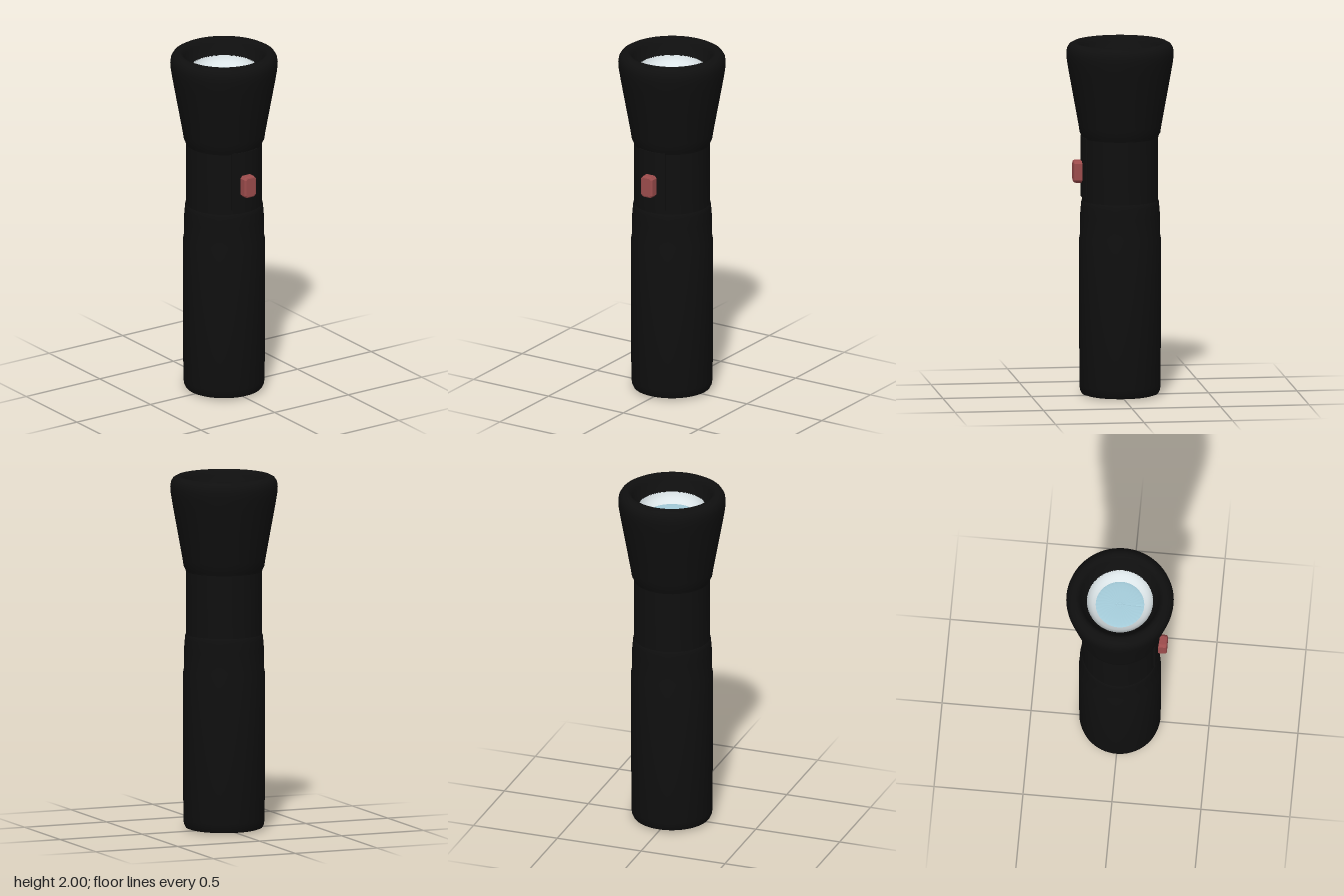
import * as THREE from 'three';
import { toCreasedNormals } from 'three/addons/utils/BufferGeometryUtils.js';

const material = (name, color) => {
  const m = new THREE.MeshStandardMaterial({ color });
  m.name = name;
  return m;
};

export function createModel() {
  const model = new THREE.Group();
  model.name = 'flashlight';
  const black = material('black rubber', 0x0f0f0f);
  const silver = material('reflector silver', 0xdde6e9);
  const blue = material('lens blue', 0xa6cedc);
  const red = material('switch red', 0x9c4c4c);

  const add = (name, geometry, mat) => {
    const mesh = new THREE.Mesh(geometry, mat);
    mesh.name = name;
    model.add(mesh);
    return mesh;
  };
  // Revolved part; profile points are [radius, height]
  const lathe = (points, segments = 64) =>
    new THREE.LatheGeometry(points.map(([r, y]) => new THREE.Vector2(r, y)), segments);
  const turned = (name, points, mat, crease = 0.6) =>
    add(name, toCreasedNormals(lathe(points), crease), mat);

  // Handle, with a small raised disc under the tail
  turned('grip', [
    [0, 0], [0.1, 0], [0.105, 0.005], [0.195, 0.005], [0.215, 0.012], [0.224, 0.03], [0.228, 0.06],
    [0.229, 0.89], [0.225, 0.91], [0.224, 1.02], [0.219, 1.08], [0.217, 1.1], [0.212, 1.11],
  ], black);
  turned('neck', [[0.214, 1.09], [0.214, 1.48]], black);

  // Flared head, rolling over the rim and down into the opening
  turned('head', [
    [0.212, 1.455], [0.218, 1.475], [0.226, 1.49], [0.232, 1.53], [0.25, 1.63], [0.27, 1.74],
    [0.288, 1.84], [0.298, 1.9], [0.301, 1.94], [0.297, 1.967], [0.285, 1.987], [0.265, 1.998],
    [0.25, 2], [0.235, 1.995], [0.222, 1.97], [0.205, 1.935], [0.185, 1.91],
  ], black, 0.8);

  // Concave reflector bowl
  turned('reflector', [
    [0.186, 1.912], [0.181, 1.898], [0.171, 1.882], [0.155, 1.867], [0.132, 1.855],
  ], silver, 0.8);

  // Lens with fine radial ridges
  const lensGeometry = lathe([[0.136, 1.858], [0.12, 1.86], [0.08, 1.862], [0.04, 1.863], [0, 1.863]], 72);
  const pos = lensGeometry.attributes.position;
  for (let i = 0; i < pos.count; i++) {
    const r = Math.hypot(pos.getX(i), pos.getZ(i));
    const ridge = Math.floor(i / 5) % 2 ? 1 : 0;
    if (r < 0.13) pos.setY(i, pos.getY(i) + ridge * r * 0.02);
  }
  lensGeometry.computeVertexNormals();
  add('lens', lensGeometry, blue);

  // Curved switch panel on the front of the neck
  const arc = new THREE.Shape();
  const a = 0.4;
  arc.absarc(0, 0, 0.221, -Math.PI / 2 - a, -Math.PI / 2 + a, false);
  arc.absarc(0, 0, 0.205, -Math.PI / 2 + a, -Math.PI / 2 - a, true);
  const panel = new THREE.ExtrudeGeometry(arc, { depth: 0.34, bevelEnabled: false, curveSegments: 12 });
  panel.rotateX(-Math.PI / 2);
  add('switchPanel', panel, black).position.y = 1.13;

  // Push button with clipped corners and a bevelled face
  const w = 0.03, h = 0.053, c = 0.009;
  const outline = new THREE.Shape([
    [-w + c, -h], [w - c, -h], [w, -h + c], [w, h - c],
    [w - c, h], [-w + c, h], [-w, h - c], [-w, -h + c],
  ].map(([x, y]) => new THREE.Vector2(x, y)));
  const button = new THREE.ExtrudeGeometry(outline, {
    depth: 0.035, bevelEnabled: true, bevelThickness: 0.012, bevelSize: 0.009, bevelSegments: 2,
  });
  add('switchButton', button, red).position.set(0, 1.272, 0.219);

  return model;
}
